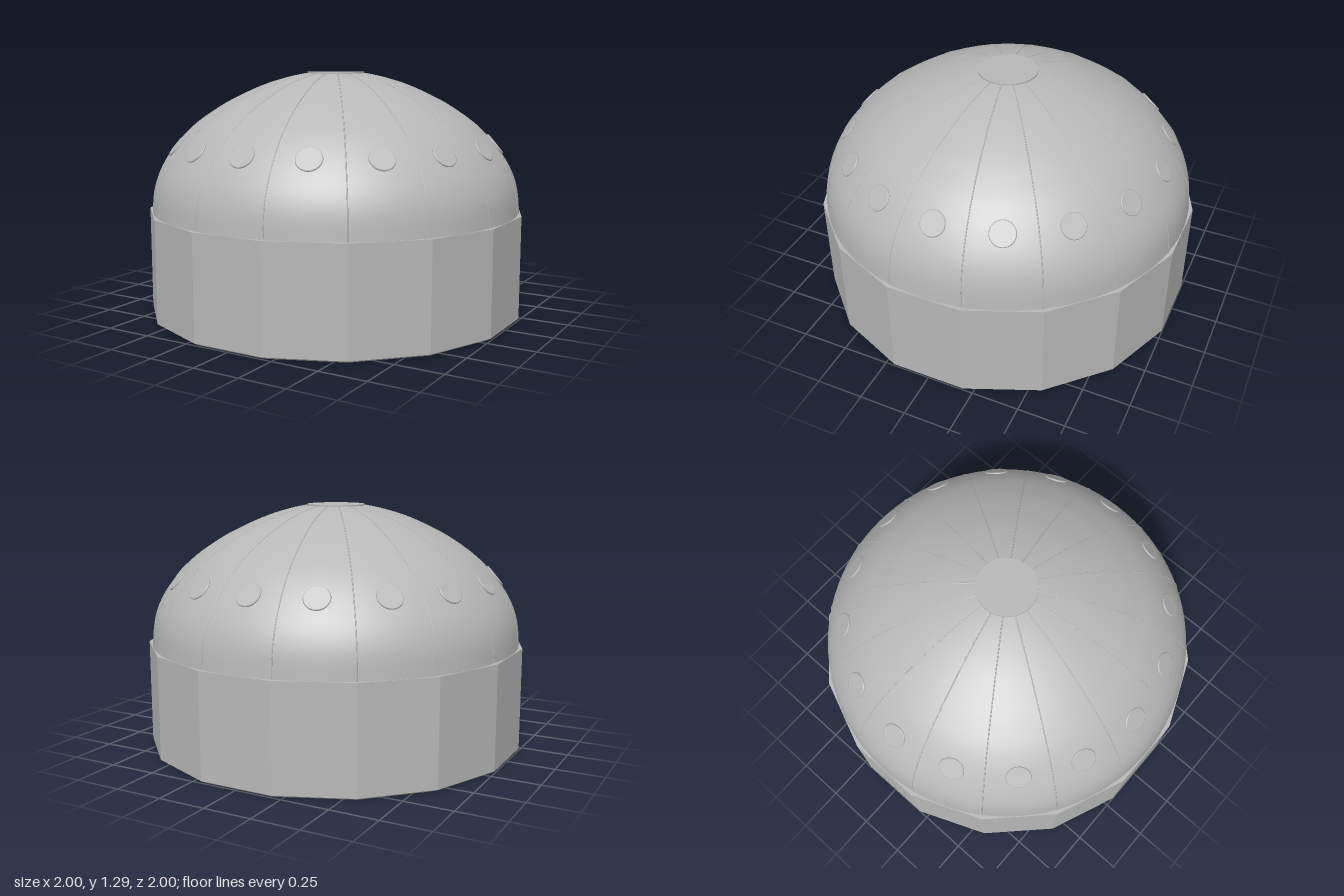
import * as THREE from 'three';

const SIDES = 16;
const STEP = (Math.PI * 2) / SIDES;

// Gives every face its own normal
function faceted(geometry) {
  const g = geometry.toNonIndexed();
  g.computeVertexNormals();
  return g;
}

export function createModel() {
  const model = new THREE.Group();
  model.name = 'domedBuilding';
  const stone = new THREE.MeshStandardMaterial({ color: 0xb8b8b8 });

  function add(name, geometry, parent = model) {
    const mesh = new THREE.Mesh(geometry, stone);
    mesh.name = name;
    parent.add(mesh);
    return mesh;
  }

  // Sixteen-sided drum with a flat side facing each axis
  const corner = 1 / Math.cos(STEP / 2);
  const chamfer = 0.01;
  const drumTop = 0.555;
  const drum = add('drumWall', faceted(new THREE.CylinderGeometry(
    corner, corner, drumTop - chamfer, SIDES, 1, true, STEP / 2)));
  drum.position.y = (drumTop + chamfer) / 2;
  const foot = add('drumFoot', faceted(new THREE.CylinderGeometry(
    corner, corner - 0.015, chamfer, SIDES, 1, true, STEP / 2)));
  foot.position.y = chamfer / 2;
  const floor = add('floor', new THREE.CircleGeometry(corner - 0.015, SIDES, STEP / 2));
  floor.rotation.x = Math.PI / 2;
  const ledge = add('drumLedge', new THREE.CircleGeometry(corner, SIDES, STEP / 2));
  ledge.rotation.x = -Math.PI / 2;
  ledge.position.y = drumTop;

  // Smooth dome turned from a slightly pointed profile
  const profile = new THREE.SplineCurve([
    [0.997, 0.55], [0.983, 0.68], [0.94, 0.795], [0.86, 0.912], [0.765, 1.01],
    [0.66, 1.086], [0.56, 1.145], [0.4, 1.219], [0.25, 1.266], [0.14, 1.288],
  ].map(([r, y]) => new THREE.Vector2(r, y)));
  add('dome', new THREE.LatheGeometry(profile.getPoints(40), 96));

  // Flat round cap at the crown
  const cap = add('crownCap', new THREE.CylinderGeometry(0.155, 0.155, 0.015, 48));
  cap.position.y = 1.2855;

  // Fine seams between the dome panels
  const seamPoints = profile.getPoints(24).map((p) => new THREE.Vector3(0, p.y, p.x));
  const seamGeometry = new THREE.TubeGeometry(
    new THREE.CatmullRomCurve3(seamPoints), 40, 0.003, 6);

  // Round portholes tilted to lie on the dome, one above each wall
  const discGeometry = new THREE.CylinderGeometry(0.06, 0.06, 0.012, 32);
  discGeometry.rotateX(Math.PI / 2);
  const rimGeometry = new THREE.TorusGeometry(0.06, 0.006, 8, 32);

  for (let i = 0; i < SIDES; i++) {
    const seam = add('domeSeam', seamGeometry);
    seam.rotation.y = (i + 0.5) * STEP;

    const bay = new THREE.Group();
    bay.name = 'portholeBay';
    bay.rotation.y = i * STEP;
    const porthole = new THREE.Group();
    porthole.name = 'porthole';
    porthole.position.set(0, 0.912, 0.86);
    porthole.rotation.x = -0.69;
    add('portholeDisc', discGeometry, porthole);
    add('portholeRim', rimGeometry, porthole);
    bay.add(porthole);
    model.add(bay);
  }
  return model;
}
